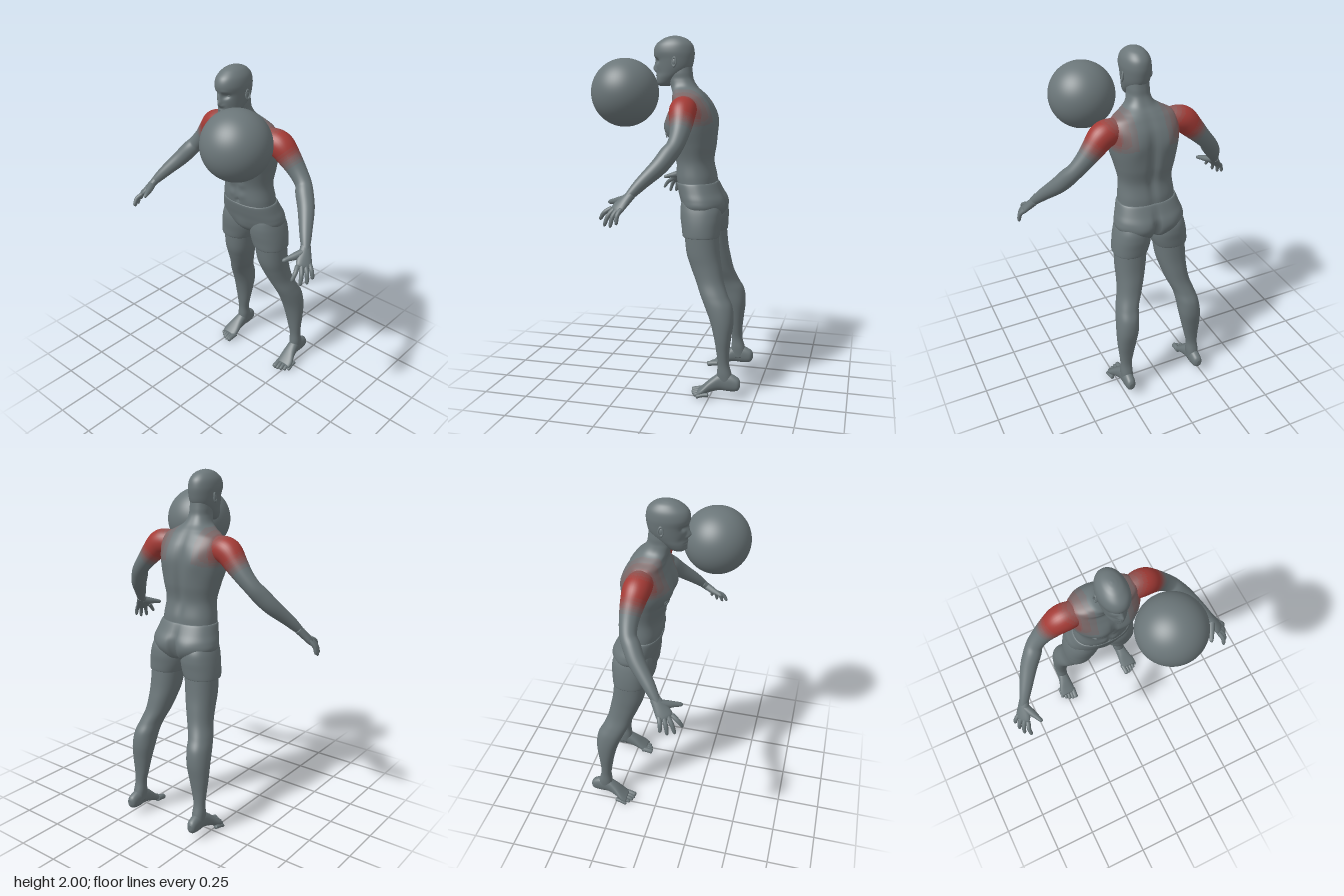
import * as THREE from 'three';

const flat = (name, color) => Object.assign(new THREE.MeshStandardMaterial({ color }), { name });

// Catmull-Rom through rows of numbers
function spline(rows, n) {
  const out = [], at = i => rows[Math.max(0, Math.min(rows.length - 1, i))];
  for (let i = 0; i < rows.length - 1; i++) {
    for (let k = 0; k < n; k++) {
      const t = k / n, a = at(i - 1), b = at(i), c = at(i + 1), d = at(i + 2);
      out.push(b.map((_, j) => 0.5 * (2 * b[j] + (c[j] - a[j]) * t
        + (2 * a[j] - 5 * b[j] + 4 * c[j] - d[j]) * t * t
        + (3 * b[j] - a[j] - 3 * c[j] + d[j]) * t * t * t)));
    }
  }
  out.push(rows[rows.length - 1].slice());
  return out;
}

// Skin closed rings of points into a smooth capped surface
function skinRings(rings) {
  const n = rings[0].length, pos = [], idx = [];
  rings.forEach(r => r.forEach(p => pos.push(p.x, p.y, p.z)));
  for (let i = 0; i < rings.length - 1; i++) {
    for (let j = 0; j < n; j++) {
      const a = i * n + j, b = i * n + (j + 1) % n;
      idx.push(a, b, b + n, a, b + n, a + n);
    }
  }
  [0, rings.length - 1].forEach((row, end) => {
    const c = rings[row].reduce((s, p) => s.add(p), new THREE.Vector3()).divideScalar(n);
    const id = pos.length / 3;
    pos.push(c.x, c.y, c.z);
    for (let j = 0; j < n; j++) {
      const a = row * n + j, b = row * n + (j + 1) % n;
      idx.push(...(end ? [id, a, b] : [id, b, a]));
    }
  });
  const geo = new THREE.BufferGeometry();
  geo.setAttribute('position', new THREE.Float32BufferAttribute(pos, 3));
  geo.setIndex(idx);
  geo.computeVertexNormals();
  return geo;
}

// Horizontal sections: [y, xMin, xMax, zFront, zBack], bottom to top
function slab(rows, { power = 0.9, seg = 48, steps = 7, shape } = {}) {
  const pw = v => Math.sign(v) * Math.abs(v) ** power;
  return skinRings(spline(rows, steps).map(([y, x0, x1, zf, zb]) =>
    Array.from({ length: seg }, (_, j) => {
      const a = j / seg * Math.PI * 2;
      const p = new THREE.Vector3((x0 + x1) / 2 + (x1 - x0) / 2 * pw(Math.sin(a)), y,
        (zf + zb) / 2 + (zf - zb) / 2 * pw(Math.cos(a)));
      if (shape) shape(p, Math.cos(a));
      return p;
    })));
}

// Round limb along a path: [x, y, z, radius, second radius], rounded at the tip
function limb(rows, { ref = [0, 0, 1], seg = 12, steps = 6 } = {}) {
  const d = spline(rows.map(r => [r[0], r[1], r[2], r[3], r[4] ?? r[3]]), steps);
  const pts = d.map(r => new THREE.Vector3(r[0], r[1], r[2]));
  return skinRings(d.map((r, i) => {
    const T = pts[Math.min(i + 1, d.length - 1)].clone().sub(pts[Math.max(i - 1, 0)]).normalize();
    const N = new THREE.Vector3(...ref).addScaledVector(T, -T.dot(new THREE.Vector3(...ref))).normalize();
    const B = T.clone().cross(N), u = i / (d.length - 1);
    const k = Math.sqrt(Math.max(0.04, 1 - Math.max(0, (u - 0.8) / 0.2) ** 2));
    return Array.from({ length: seg }, (_, j) => {
      const a = j / seg * Math.PI * 2;
      return pts[i].clone().addScaledVector(N, Math.cos(a) * r[3] * k).addScaledVector(B, Math.sin(a) * r[4] * k);
    });
  }));
}

function mirrored(geo) {
  const g = geo.clone().scale(-1, 1, 1), ix = g.index.array;
  for (let i = 0; i < ix.length; i += 3) [ix[i], ix[i + 1]] = [ix[i + 1], ix[i]];
  g.computeVertexNormals();
  return g;
}

// Sort triangles into material groups by redness (0 to 1) at their centre
function paint(geo, redness, count) {
  const p = geo.attributes.position, ix = geo.index.array, sets = Array.from({ length: count }, () => []);
  for (let i = 0; i < ix.length; i += 3) {
    const t = [ix[i], ix[i + 1], ix[i + 2]], mid = f => (f(t[0]) + f(t[1]) + f(t[2])) / 3;
    sets[Math.round(redness(Math.abs(mid(k => p.getX(k))), mid(k => p.getY(k))) * (count - 1))].push(...t);
  }
  geo.setIndex(sets.flat());
  let start = 0;
  sets.forEach((s, m) => { if (s.length) geo.addGroup(start, s.length, m); start += s.length; });
  return geo;
}

const { smoothstep } = THREE.MathUtils;
const torsoRed = (x, y) => (x < 0.085 ? 0 : x < 0.165 ? 0.17 + 0.2 * smoothstep(x, 0.1, 0.165) : 0.6)
  * smoothstep(y, 1.49, 1.57) * (1 - smoothstep(y, 1.69, 1.72));
function armRed(x, y) {
  const d = 0.7 * (x - 0.2 + 1.6 - y);
  return (0.6 + 0.4 * smoothstep(d, -0.07, 0)) * (1 - smoothstep(d, 0.06, 0.185));
}

const bump = (d, w) => Math.exp(-(d * d) / (w * w));
const spot = (p, x, y, w, h) => bump(Math.abs(p.x) - x, w) * bump(p.y - y, h);

function shapeTorso(p, c) {
  const chest = bump(p.y - 1.5, 0.1), belly = bump(p.y - 1.3, 0.1);
  if (c > 0) {
    p.z += c * (0.016 * spot(p, 0.085, 1.5, 0.06, 0.05) - 0.012 * bump(p.x, 0.014) * chest
      - 0.006 * bump(p.x, 0.01) * belly - 0.012 * spot(p, 0, 1.21, 0.01, 0.012)
      - 0.006 * spot(p, 0.09, 1.425, 0.06, 0.012) + 0.008 * spot(p, 0.08, 1.665, 0.07, 0.015));
    for (const y of [1.25, 1.315, 1.38]) p.z += 0.006 * c * spot(p, 0.035, y, 0.024, 0.022);
  } else {
    p.z += -c * 0.018 * bump(p.x, 0.025) * bump(p.y - 1.42, 0.2);
    p.z += c * 0.012 * spot(p, 0.1, 1.54, 0.05, 0.07);
  }
}

function shapeHips(p, c) {
  if (c < 0) p.z += -c * (0.035 * bump(p.x, 0.018) * bump(p.y - 1.03, 0.1) - 0.012 * spot(p, 0.09, 1.06, 0.06, 0.06));
  else p.z += c * 0.008 * spot(p, 0, 1.03, 0.04, 0.05);
}

function shapeHead(p, c) {
  if (c < 0.2) return;
  p.z += c * (-0.018 * spot(p, 0.031, 1.862, 0.017, 0.013) + 0.005 * spot(p, 0.03, 1.886, 0.025, 0.011)
    + 0.02 * bump(p.x, 0.012) * bump(p.y - 1.82, 0.018) + 0.01 * bump(p.x, 0.009) * bump(p.y - 1.85, 0.025)
    + 0.006 * spot(p, 0.014, 1.81, 0.008, 0.009) + 0.006 * spot(p, 0, 1.782, 0.022, 0.008)
    + 0.006 * spot(p, 0, 1.768, 0.02, 0.007) - 0.004 * spot(p, 0, 1.775, 0.024, 0.003)
    - 0.006 * spot(p, 0.045, 1.795, 0.016, 0.02) + 0.005 * spot(p, 0, 1.74, 0.02, 0.012));
}

export function createModel() {
  const model = new THREE.Group();
  const grey = flat('grey', 0x6b7679);
  const tones = [grey, flat('warmGrey', 0x736f71), flat('roseGrey', 0x7b6868), flat('dustyRose', 0x845f5f),
    flat('dustyRed', 0x8c5654), flat('dullRed', 0x944d4a), flat('softRed', 0x9c4440), flat('red', 0xa43b36)];
  const add = (name, geo, mat = grey) => {
    const m = new THREE.Mesh(geo, mat);
    m.name = name;
    model.add(m);
  };
  const pair = (name, geo) => { add(name + 'Left', geo); add(name + 'Right', mirrored(geo)); };
  const sym = rows => rows.map(([y, w, f, b]) => [y, -w, w, f, b]);

  // Torso and neck, with red spreading from the shoulders
  const torso = slab(sym([[1.16, 0.163, -0.02, -0.232], [1.22, 0.16, -0.008, -0.228], [1.31, 0.152, -0.006, -0.21],
    [1.40, 0.17, 0.02, -0.222], [1.48, 0.19, 0.048, -0.225], [1.55, 0.199, 0.046, -0.22], [1.61, 0.197, 0.026, -0.203],
    [1.66, 0.175, 0.01, -0.172], [1.69, 0.122, 0.02, -0.148], [1.72, 0.077, 0.032, -0.118],
    [1.76, 0.06, 0.045, -0.094], [1.80, 0.058, 0.05, -0.087], [1.86, 0.05, 0.04, -0.08]]),
  { power: 0.87, seg: 96, steps: 9, shape: shapeTorso });
  add('torso', paint(torso, torsoRed, tones.length), tones);
  pair('nipple', new THREE.TorusGeometry(0.012, 0.0025, 8, 20).rotateY(0.45).rotateX(0.2).translate(0.105, 1.455, 0.034));

  // Head, eyes and ears
  add('head', slab(sym([[1.725, 0.024, 0.1, 0.045], [1.74, 0.042, 0.115, 0.015], [1.77, 0.057, 0.116, -0.02],
    [1.80, 0.065, 0.117, -0.062], [1.83, 0.071, 0.118, -0.085], [1.87, 0.076, 0.121, -0.095], [1.91, 0.079, 0.134, -0.098],
    [1.95, 0.071, 0.122, -0.088], [1.98, 0.05, 0.086, -0.058], [1.995, 0.025, 0.05, -0.02], [2.0, 0.004, 0.02, 0.01]]),
  { power: 0.97, seg: 96, steps: 9, shape: shapeHead }));
  pair('eye', new THREE.SphereGeometry(0.011, 16, 10).scale(1.2, 0.75, 0.8).translate(0.031, 1.862, 0.088));
  pair('ear', new THREE.TorusGeometry(0.016, 0.005, 8, 24).scale(0.75, 1.45, 1).rotateX(-0.1).rotateY(Math.PI / 2 - 0.25).translate(0.079, 1.855, -0.002));
  pair('earInner', new THREE.SphereGeometry(0.015, 12, 10).scale(0.4, 1.3, 0.8).translate(0.076, 1.852, 0));

  // Shorts
  add('shortsHips', slab(sym([[0.97, 0.03, -0.12, -0.2], [0.99, 0.09, -0.085, -0.25], [1.02, 0.165, -0.06, -0.272],
    [1.06, 0.2, -0.044, -0.283], [1.1, 0.198, -0.032, -0.28], [1.14, 0.185, -0.02, -0.262], [1.185, 0.171, -0.01, -0.24],
    [1.192, 0.164, -0.018, -0.232]]), { power: 0.87, seg: 72, shape: shapeHips }));
  pair('shortsLeg', slab([[0.898, 0.03, 0.217, -0.078, -0.267], [0.902, 0.023, 0.223, -0.068, -0.273],
    [0.95, 0.008, 0.22, -0.06, -0.277], [1.0, 0.005, 0.212, -0.052, -0.28], [1.05, 0.018, 0.199, -0.05, -0.272],
    [1.1, 0.04, 0.178, -0.06, -0.24], [1.13, 0.07, 0.145, -0.09, -0.2]]));

  // Legs
  pair('leg', slab([[0.08, 0.19, 0.255, -0.285, -0.385], [0.14, 0.186, 0.257, -0.288, -0.371], [0.2, 0.187, 0.254, -0.292, -0.355],
    [0.27, 0.172, 0.259, -0.283, -0.355], [0.35, 0.155, 0.266, -0.268, -0.364], [0.44, 0.138, 0.266, -0.243, -0.374],
    [0.52, 0.13, 0.257, -0.21, -0.365], [0.58, 0.118, 0.242, -0.182, -0.335], [0.65, 0.088, 0.222, -0.152, -0.307],
    [0.73, 0.062, 0.214, -0.117, -0.29], [0.81, 0.042, 0.213, -0.09, -0.276], [0.94, 0.025, 0.21, -0.075, -0.265]]));

  // Feet: sections run from heel to toe, then turn forward; toes follow
  pair('foot', slab([[-0.42, 0.215, 0.24, -0.07, -0.105], [-0.405, 0.198, 0.252, -0.05, -0.125], [-0.36, 0.191, 0.256, -0.043, -0.145],
    [-0.31, 0.19, 0.258, -0.045, -0.145], [-0.26, 0.188, 0.27, -0.034, -0.112], [-0.215, 0.185, 0.288, -0.016, -0.07],
    [-0.185, 0.19, 0.285, -0.01, -0.043]], { seg: 32 }).rotateX(Math.PI / 2));
  for (let i = 0; i < 5; i++) {
    const x = 0.2 + i * 0.0205, r = i ? 0.011 : 0.016, tip = -0.14 - i * i * 0.0025;
    pair('toe' + (i + 1), limb([[x - 0.003, 0.03, tip - 0.07, r], [x, 0.024, tip - 0.03, r], [x + 0.002, r, tip, r]], { ref: [0, 1, 0] }));
  }

  // Arms, with red fading out towards the elbow
  const arm = limb([[0.1, 1.6, -0.085, 0.05], [0.175, 1.602, -0.085, 0.069], [0.235, 1.59, -0.09, 0.073],
    [0.29, 1.535, -0.098, 0.063], [0.345, 1.475, -0.1, 0.051], [0.395, 1.42, -0.09, 0.045], [0.425, 1.38, -0.065, 0.048],
    [0.47, 1.32, -0.025, 0.045], [0.53, 1.24, 0.05, 0.034], [0.572, 1.178, 0.102, 0.026], [0.595, 1.14, 0.13, 0.024]],
  { seg: 36, steps: 9 });
  add('armRight', paint(mirrored(arm), armRed, tones.length), tones);
  add('armLeft', paint(arm, armRed, tones.length), tones);

  // Hands
  const ref = [0.45, 0, -0.9];
  pair('palm', limb([[0.565, 1.188, 0.092, 0.027, 0.023], [0.582, 1.158, 0.118, 0.034, 0.022], [0.599, 1.128, 0.145, 0.043, 0.019],
    [0.614, 1.1, 0.167, 0.043, 0.016]], { ref, seg: 20 }));
  const tips = [[0.6, 1.058, 0.248], [0.632, 1.03, 0.215], [0.648, 1.028, 0.178], [0.656, 1.045, 0.142]];
  tips.forEach(([x, y, z], i) => {
    const s = (i - 1.5) * 0.022, bx = 0.605 + 0.45 * s, by = 1.118, bz = 0.158 - 0.9 * s;
    pair('finger' + (i + 1), limb([[bx, by, bz, 0.013], [(bx + x) / 2 + 0.008, (by + y) / 2 + 0.008, (bz + z) / 2 + 0.005, 0.012],
      [x, y, z, 0.009]], { ref }));
  });
  pair('thumb', limb([[0.574, 1.165, 0.118, 0.022], [0.553, 1.152, 0.162, 0.02], [0.536, 1.145, 0.197, 0.014], [0.521, 1.137, 0.228, 0.011]],
    { ref: [0, 1, 0] }));

  // Floating ball
  add('ball', new THREE.SphereGeometry(0.184, 64, 40).translate(0.215, 1.69, 0.236));
  return model;
}
